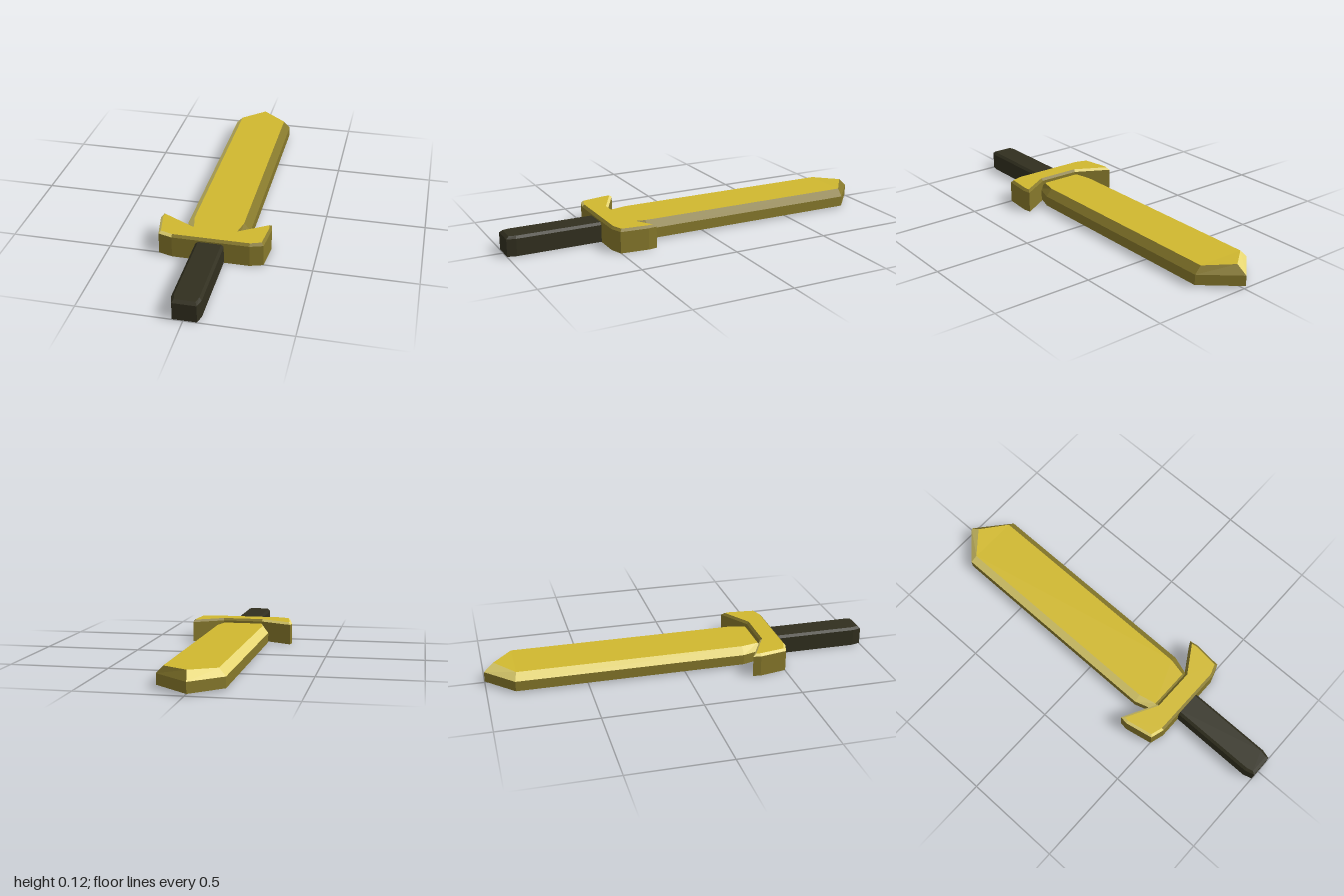
import * as THREE from 'three';

function material(name, color) {
  const m = new THREE.MeshStandardMaterial({ color });
  m.name = name;
  return m;
}
const gold = material('gold', 0xd0b82f);
const darkGold = material('dark gold', 0x86782b);
const paleGold = material('pale gold', 0xe6d672);
const darkGrip = material('dark grip', 0x312f1f);

// Closed faceted solid through rings of [x, z, y] points, bottom to top,
// each listed counter-clockwise as seen from above.
// Walls and bottom take sideMat, the top takes topMat, and the bevel
// segments listed in paleBevels (by starting point) take pale gold.
function loft(name, rings, sideMat, topMat, paleBevels = []) {
  const faces = new Map();
  const tri = (mat, ...corners) => {
    if (!faces.has(mat)) faces.set(mat, []);
    corners.forEach(([x, z, y]) => faces.get(mat).push(x, y, z));
  };
  for (let r = 0; r < rings.length - 1; r++) {
    const a = rings[r], b = rings[r + 1];
    const bevel = r === rings.length - 2;
    a.forEach((p, i) => {
      const j = (i + 1) % a.length;
      const mat = bevel && paleBevels.includes(i) ? paleGold : sideMat;
      tri(mat, p, a[j], b[j]);
      tri(mat, p, b[j], b[i]);
    });
  }
  const cap = (ring, mat, up) => {
    const flat = ring.map(([x, z]) => new THREE.Vector2(x, -z));
    for (const [i, j, k] of THREE.ShapeUtils.triangulateShape(flat, [])) {
      if (up) tri(mat, ring[i], ring[j], ring[k]);
      else tri(mat, ring[i], ring[k], ring[j]);
    }
  };
  cap(rings[0], sideMat, false);
  cap(rings[rings.length - 1], topMat, true);

  const part = new THREE.Group();
  part.name = name;
  for (const [mat, pos] of faces) {
    const geometry = new THREE.BufferGeometry();
    geometry.setAttribute('position', new THREE.Float32BufferAttribute(pos, 3));
    geometry.computeVertexNormals();
    const mesh = new THREE.Mesh(geometry, mat);
    mesh.name = `${name} ${mat.name} faces`;
    part.add(mesh);
  }
  return part;
}

// Lays an [x, z] outline at height y, keeping any height a point already has
const at = (y, outline) => outline.map(([x, z, own]) => [x, z, own ?? y]);

export function createModel() {
  const sword = new THREE.Group();
  sword.name = 'sword';

  // Blade: straight lower edge, wide bevel on top, pointed tip (listed last)
  const bladeEdge = [[-0.153, -0.86], [-0.153, 0.31], [-0.115, 0.43],
    [0.125, 0.43], [0.164, 0.31], [0.164, -0.85], [-0.01, -1]];
  const bladeTop = [[-0.12, -0.85], [-0.12, 0.31], [-0.1, 0.4],
    [0.11, 0.4], [0.13, 0.31], [0.13, -0.85], [0, -0.95, 0.104]];
  sword.add(loft('blade', [at(0.01, bladeEdge), at(0.062, bladeEdge), at(0.098, bladeTop)],
    darkGold, gold, [0, 1, 6]));

  // Guard: two wings swept toward the blade, thin bevel on top
  const guardEdge = [[-0.1, 0.412], [-0.272, 0.32], [-0.278, 0.36], [-0.25, 0.502], [-0.18, 0.523],
    [0.2, 0.523], [0.264, 0.502], [0.277, 0.36], [0.27, 0.315], [0.115, 0.412]];
  const guardTop = [[-0.103, 0.423], [-0.262, 0.338], [-0.265, 0.36], [-0.24, 0.492], [-0.18, 0.511],
    [0.2, 0.511], [0.252, 0.492], [0.265, 0.36], [0.261, 0.333], [0.118, 0.423]];
  sword.add(loft('guard', [at(0, guardEdge), at(0.108, guardEdge), at(0.12, guardTop)],
    darkGold, gold, [0, 1, 2, 3]));

  // Grip: bevelled bar with tapered end
  const gripEdge = [[-0.063, 0.5], [-0.063, 0.955], [-0.05, 1], [0.064, 1], [0.076, 0.955], [0.076, 0.5]];
  const gripTop = [[-0.05, 0.5], [-0.05, 0.95], [-0.042, 0.985], [0.056, 0.985], [0.064, 0.95], [0.064, 0.5]];
  sword.add(loft('grip', [at(0.002, gripEdge), at(0.089, gripEdge), at(0.101, gripTop)],
    darkGrip, darkGrip));

  return sword;
}
